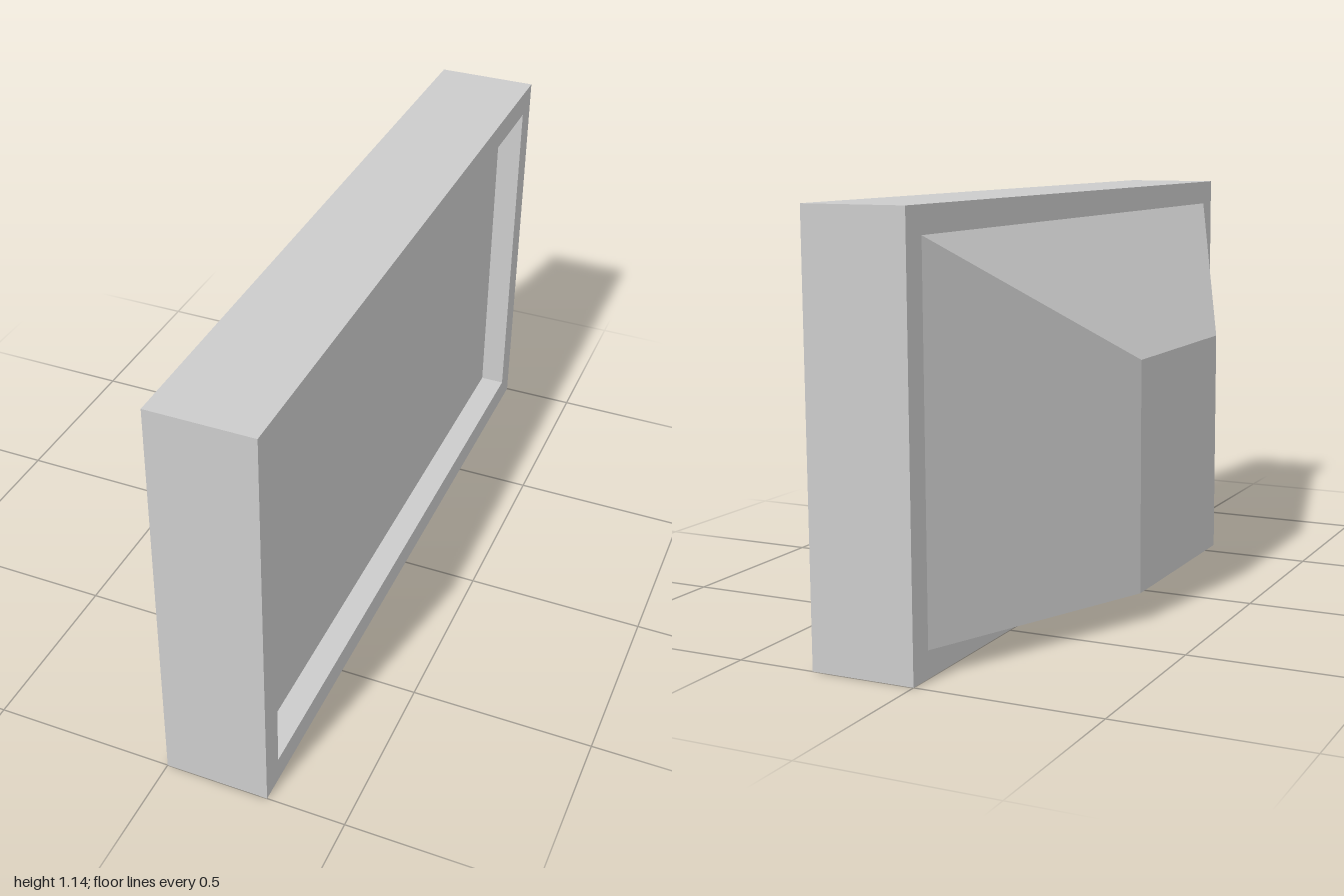
import * as THREE from 'three';

const U = 1 / 14; // border width; the whole cabinet is laid out in this unit

// Rectangle in the z-y plane as four corners, in order when seen from -x
const ring = (x, halfZ, y0, y1) => [
  [x, y0, -halfZ], [x, y0, halfZ], [x, y1, halfZ], [x, y1, -halfZ],
];

function rectPath(path, halfW, y0, y1) {
  path.moveTo(-halfW, y0);
  path.lineTo(halfW, y0);
  path.lineTo(halfW, y1);
  path.lineTo(-halfW, y1);
  path.closePath();
  return path;
}

// Tapered shell between two rings, closed at the outer ring
function taperedShell(base, cap) {
  const pos = [];
  const quad = (a, b, c, d) => pos.push(...a, ...b, ...c, ...a, ...c, ...d);
  for (let i = 0; i < 4; i++) {
    const j = (i + 1) % 4;
    quad(base[i], base[j], cap[j], cap[i]);
  }
  quad(...cap);
  const geo = new THREE.BufferGeometry();
  geo.setAttribute('position', new THREE.Float32BufferAttribute(pos, 3));
  geo.computeVertexNormals();
  return geo;
}

export function createModel() {
  const group = new THREE.Group();
  const grey = new THREE.MeshStandardMaterial({ color: 0xcccccc });
  grey.name = 'casingGrey';
  const add = (name, geo) => {
    const mesh = new THREE.Mesh(geo, grey);
    mesh.name = name;
    group.add(mesh);
    return mesh;
  };

  // Frame: rectangular surround, open in the middle, facing +x
  const outline = rectPath(new THREE.Shape(), 14 * U, 0, 16 * U);
  outline.holes.push(rectPath(new THREE.Path(), 13 * U, U, 15 * U));
  const frame = new THREE.ExtrudeGeometry(outline, { depth: 4 * U, bevelEnabled: false });
  frame.rotateY(Math.PI / 2);
  add('frame', frame);

  // Screen: fills the frame, recessed by one border width
  add('screen', new THREE.BoxGeometry(3 * U, 14 * U, 26 * U)).position.set(1.5 * U, 8 * U, 0);

  // Rear housing: tapers back from the frame opening, nearly flat underneath
  add('rearHousing', taperedShell(
    ring(0, 13 * U, U, 15 * U),
    ring(-4 * U, 4 * U, 0.079, 10 * U),
  ));

  return group;
}
